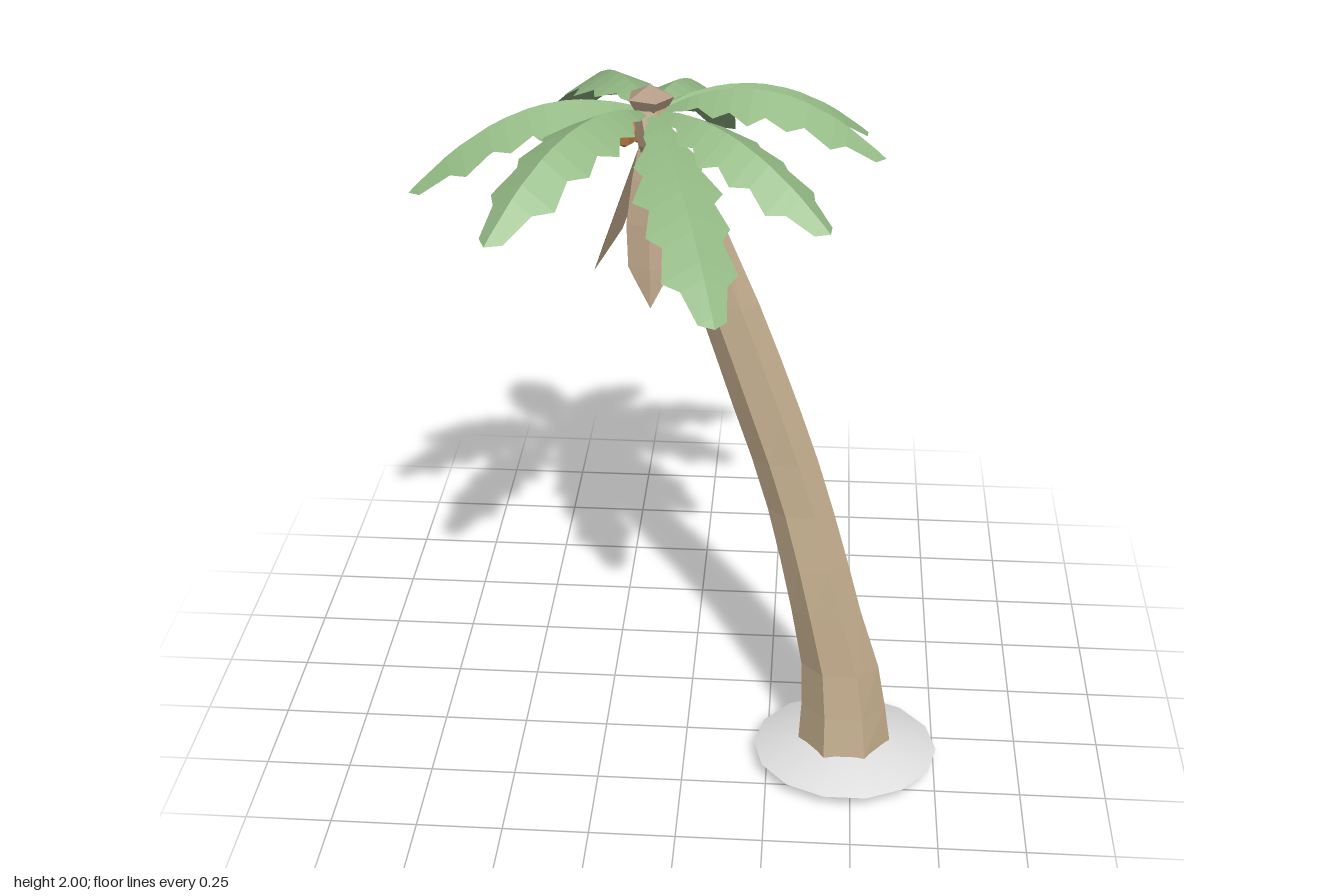
import * as THREE from 'three';

const mat = (name, color, side = THREE.FrontSide, flatShading = true) =>
  Object.assign(new THREE.MeshStandardMaterial({ color, flatShading, side }), { name });

const V = (x, y, z) => new THREE.Vector3(x, y, z);

function fromTriangles(points) {
  const g = new THREE.BufferGeometry().setFromPoints(points);
  g.computeVertexNormals();
  return g;
}

// Folded leaf: a midrib curve with two edges that hang below it.
// profile: [position along the rib, half width]
function leafGeometry(rib, side, fold, profile, scale = 1) {
  const tris = [];
  const rows = profile.map(([t, w]) => {
    const p = rib.getPoint(t);
    const out = s => p.clone().addScaledVector(side, s * w * scale).addScaledVector(fold, w * scale);
    return { p, l: out(-1), r: out(1) };
  });
  for (let i = 0; i < rows.length - 1; i++) {
    const a = rows[i], b = rows[i + 1];
    tris.push(a.p, a.r, b.r, a.p, b.r, b.p);
    tris.push(a.p, b.p, b.l, a.p, b.l, a.l);
  }
  return fromTriangles(tris);
}

// Tapered open trunk from elliptical rings: [y, x, z, rx, rz]
function trunkGeometry(rings, sides) {
  const loops = rings.map(([y, cx, cz, rx, rz]) =>
    Array.from({ length: sides }, (_, i) => {
      const a = 0.22 + (i / sides) * Math.PI * 2;
      return V(cx + rx * Math.cos(a), y, cz + rz * Math.sin(a));
    }));
  const tris = [];
  for (let j = 0; j < loops.length - 1; j++) {
    for (let i = 0; i < sides; i++) {
      const k = (i + 1) % sides;
      const a = loops[j][i], b = loops[j][k], c = loops[j + 1][k], d = loops[j + 1][i];
      tris.push(a, d, b, b, d, c);
    }
  }
  return fromTriangles(tris);
}

const lathe = (points, sides) =>
  new THREE.LatheGeometry(points.map(p => new THREE.Vector2(...p)), sides);

export function createModel() {
  const group = new THREE.Group();
  const bark = mat('bark', 0xb8a385, THREE.DoubleSide);
  const dryLeaf = mat('dry leaf', 0xb8a085, THREE.DoubleSide);
  const crownWood = mat('crown wood', 0xb59c88);
  const green = mat('leaf green', 0x93b984, THREE.DoubleSide);
  const nut = mat('coconut orange', 0xc98549);
  const sand = mat('pale sand', 0xdedede, THREE.DoubleSide, false);
  const add = (name, geometry, material) => {
    const m = new THREE.Mesh(geometry, material);
    m.name = name;
    group.add(m);
    return m;
  };

  // Leaning trunk, open at the foot
  add('trunk', trunkGeometry([
    [0, 0.48, 0.357, 0.145, 0.143],
    [0.09, 0.479, 0.352, 0.139, 0.136],
    [0.2, 0.473, 0.338, 0.127, 0.112],
    [0.33, 0.458, 0.32, 0.116, 0.092],
    [0.5, 0.412, 0.293, 0.104, 0.08],
    [0.65, 0.372, 0.26, 0.1, 0.075],
    [0.8, 0.328, 0.223, 0.097, 0.071],
    [0.95, 0.278, 0.192, 0.097, 0.068],
    [1.1, 0.222, 0.165, 0.097, 0.066],
    [1.25, 0.165, 0.136, 0.094, 0.065],
    [1.4, 0.106, 0.107, 0.09, 0.065],
    [1.6, 0.022, 0.068, 0.08, 0.065],
    [1.83, -0.095, 0.025, 0.054, 0.058],
    [1.93, -0.118, 0, 0.05, 0.05],
  ], 7), bark);

  // Sand mound around and inside the foot
  const mound = add('sandMound', lathe([[0.273, 0.045], [0.13, 0.092], [0, 0.1]], 14), sand);
  mound.position.set(0.483, 0, 0.36);
  mound.rotation.y = Math.PI / 2;
  mound.scale.x = 0.905;

  // Five-sided crown bud
  const bud = add('crownBud', lathe([[0, 1.9], [0.035, 1.9], [0.067, 1.957], [0, 1.99]], 5), crownWood);
  bud.position.set(-0.117, 0, 0);
  bud.rotation.y = Math.PI / 2;

  // Serrated fronds: tip x, y, z and the height the arc is pulled to
  const serrated = [[0, 0.015], [0.12, 0.05], [0.17, 0.05], [0.25, 0.1], [0.32, 0.085], [0.41, 0.13],
    [0.48, 0.093], [0.58, 0.12], [0.65, 0.085], [0.77, 0.108], [0.83, 0.066], [0.96, 0.04], [1, 0]];
  const fronds = [
    [-0.41, 1.69, -0.6, 2.03], [0.06, 1.62, -0.65, 2.0], [0.49, 1.72, -0.385, 2.03],
    [0.53, 1.82, 0.07, 2.11], [0.385, 1.73, 0.38, 1.98], [0.1, 1.58, 0.65, 1.87],
    [-0.48, 1.785, 0.64, 2.08], [-0.76, 1.735, 0.19, 2.06], [-0.725, 1.66, -0.14, 1.97],
  ];
  fronds.forEach(([x, y, z, pull], i) => {
    const dir = V(x + 0.115, 0, z);
    const length = dir.length();
    dir.normalize();
    const start = V(-0.115, 1.925, 0).addScaledVector(dir, 0.035);
    const middle = V(-0.115, pull, 0).addScaledVector(dir, length * 0.52);
    const rib = new THREE.QuadraticBezierCurve3(start, middle, V(x, y, z));
    add('frond' + (i + 1), leafGeometry(rib, V(-dir.z, 0, dir.x), V(0, -0.5, 0), serrated, 0.95), green);
  });

  // Dry leaves hanging under the crown
  const dryProfile = [[0, 0.025], [0.25, 0.05], [0.5, 0.066], [0.75, 0.062], [0.82, 0.045], [1, 0]];
  const hang = [
    [V(-0.115, 1.86, 0.03), V(-0.115, 1.6, 0.11), V(-0.11, 1.38, 0.135), V(1, 0, 0), V(0, 0, -0.3)],
    [V(-0.13, 1.86, -0.02), V(-0.21, 1.62, -0.07), V(-0.295, 1.38, -0.105), V(0.35, 0, -0.93), V(0.28, 0, 0.1)],
  ];
  hang.forEach(([a, b, c, side, fold], i) =>
    add('dryLeaf' + (i + 1), leafGeometry(new THREE.QuadraticBezierCurve3(a, b, c), side, fold, dryProfile), dryLeaf));

  // Coconuts
  [[-0.195, 1.835, -0.055], [-0.155, 1.84, -0.075]].forEach((p, i) => {
    const c = add('coconut' + (i + 1), new THREE.SphereGeometry(0.037, 6, 4), nut);
    c.position.set(...p);
    c.scale.y = 1.35;
    c.rotation.y = i;
  });

  return group;
}
